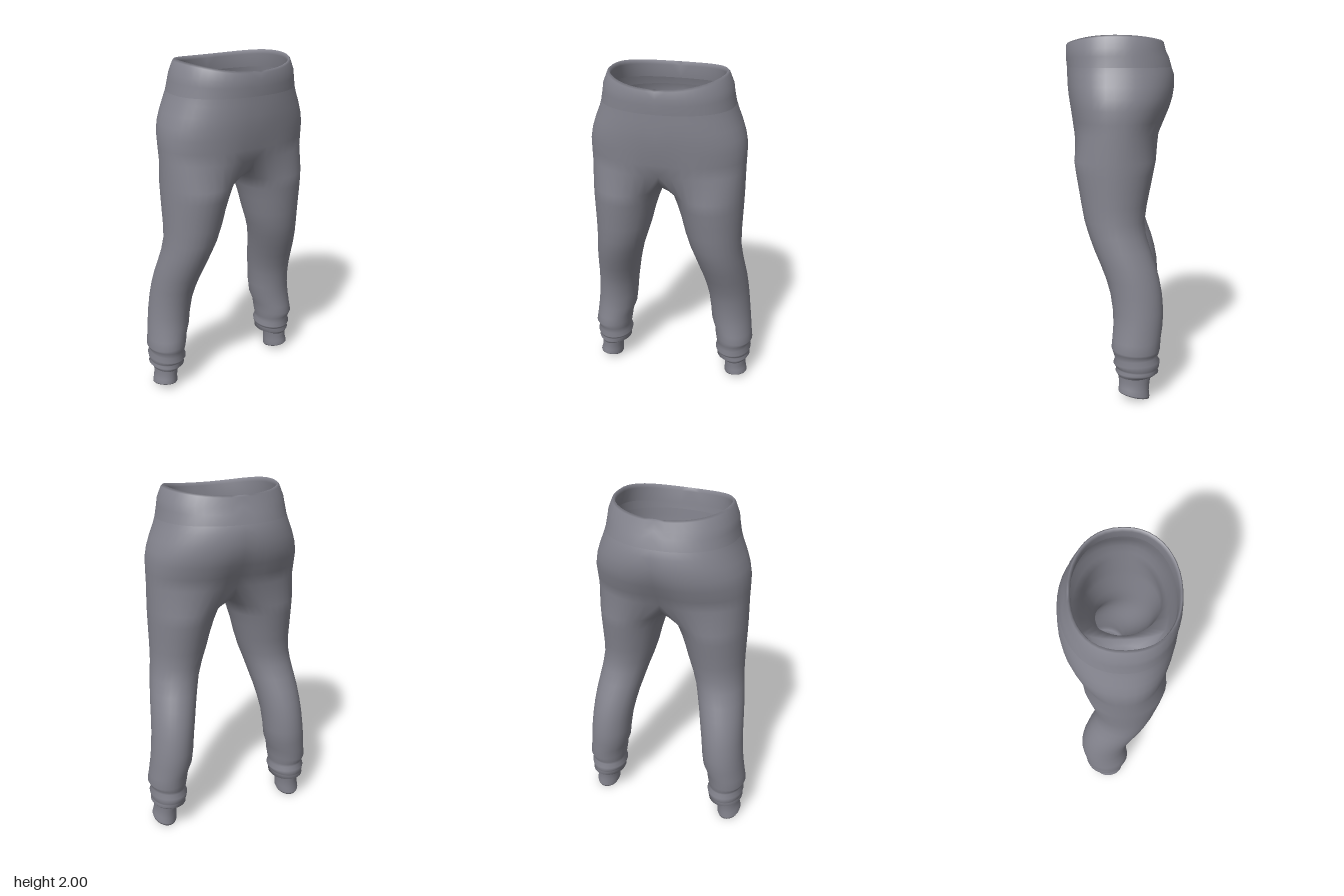
import * as THREE from 'three';
import { mergeGeometries, mergeVertices } from 'three/addons/utils/BufferGeometryUtils.js';

const OUTER = 22; // segments from front seam round the hip to back seam
const INNER = 10; // segments along the inside of a leg
const SWEEP = 0.75; // how far the outer arc wraps onto the inner thigh

// Half ring of the hips, x >= 0: height, half width, front z, back z, rim droop, seam dips
function hipRow([y, w, zf, zb, droop = 0, dipF = 0, dipB = 0]) {
  const row = [];
  const cz = 0.03;
  for (let j = 0; j <= OUTER; j++) {
    const a = (Math.PI * j) / OUTER;
    const c = Math.cos(a);
    const s = Math.max(0, Math.sin(a));
    const x = j === OUTER ? 0 : w * Math.pow(s, 0.92);
    const seam = Math.exp(-((x / 0.11) ** 2));
    const reach = c > 0 ? zf - cz - dipF * seam : cz - zb - dipB * seam;
    const z = cz + Math.sign(c) * reach * Math.pow(Math.abs(c), 0.9);
    row.push([x, y - droop * c * c * (c > 0 ? 1 : 0.65), z]);
  }
  return row;
}

// Closed ring of a leg: height, inner x, outer x, front z, back z, tilt to front, tilt to side
function legRow([y, x0, x1, zf, zb, tilt = 0, side = 0]) {
  const row = [];
  for (let j = 0; j < OUTER + INNER; j++) {
    const a = j <= OUTER
      ? -SWEEP + ((Math.PI + 2 * SWEEP) * j) / OUTER
      : Math.PI + SWEEP + ((Math.PI - 2 * SWEEP) * (j - OUTER)) / INNER;
    const s = Math.sin(a);
    const c = Math.cos(a);
    row.push([(x0 + x1) / 2 + ((x1 - x0) / 2) * s, y + tilt * c + side * s,
      (zf + zb) / 2 + ((zf - zb) / 2) * c]);
  }
  return row;
}

// Skin rows running from top to bottom
function loft(rows, closed) {
  const n = rows[0].length;
  const index = [];
  for (let r = 0; r < rows.length - 1; r++) {
    for (let j = 0; j < (closed ? n : n - 1); j++) {
      const a = r * n + j;
      const b = r * n + ((j + 1) % n);
      index.push(a, a + n, b, b, a + n, b + n);
    }
  }
  const g = new THREE.BufferGeometry();
  g.setAttribute('position', new THREE.Float32BufferAttribute(rows.flat(2), 3));
  g.setIndex(index);
  return g;
}

// Copy a geometry across x = 0, keeping its faces outward
function mirrored(g) {
  const m = g.clone().scale(-1, 1, 1);
  const ix = m.index.array;
  for (let i = 0; i < ix.length; i += 3) [ix[i + 1], ix[i + 2]] = [ix[i + 2], ix[i + 1]];
  return m;
}

function weld(parts) {
  const g = mergeVertices(mergeGeometries(parts), 1e-4);
  g.computeVertexNormals();
  return g;
}

export function createModel() {
  const group = new THREE.Group();
  const cloth = new THREE.MeshStandardMaterial({ color: 0x85858f, side: THREE.DoubleSide });
  cloth.name = 'grey cloth';
  const add = (name, geometry) => {
    const mesh = new THREE.Mesh(geometry, cloth);
    mesh.name = name;
    group.add(mesh);
  };

  // Waistband with a hem folded inside
  const band = loft([
    [1.9, 0.325, 0.285, -0.235, 0.03],
    [1.975, 0.308, 0.29, -0.225, 0.035],
    [2.0, 0.313, 0.3, -0.235, 0.04],
    [1.99, 0.325, 0.308, -0.243, 0.04],
    [1.93, 0.35, 0.31, -0.255, 0.02],
    [1.89, 0.355, 0.31, -0.273, 0.01],
    [1.83, 0.367, 0.305, -0.288],
  ].map(hipRow), false);
  add('waistband', weld([band, mirrored(band)]));

  // Hips and seat down to the crotch line
  const hipRows = [
    [1.83, 0.367, 0.305, -0.288],
    [1.79, 0.38, 0.304, -0.302],
    [1.73, 0.405, 0.302, -0.307, 0, 0, 0.004],
    [1.67, 0.426, 0.296, -0.302, 0, 0, 0.01],
    [1.61, 0.438, 0.289, -0.285, 0, 0.003, 0.018],
    [1.54, 0.438, 0.28, -0.257, 0, 0.008, 0.028],
    [1.47, 0.437, 0.273, -0.23, 0, 0.02, 0.04],
  ].map(hipRow);
  const hips = loft(hipRows, false);

  // Crotch line: the last hip row closed by a saddle curve on the centre plane
  const crotch = hipRows[hipRows.length - 1].slice();
  const front = crotch[0][2];
  const back = crotch[OUTER][2];
  for (let j = 1; j < INNER; j++) {
    const a = Math.PI + (Math.PI * j) / INNER;
    crotch.push([0, 1.47 + 0.125 * Math.sin(a),
      (front + back) / 2 + ((front - back) / 2) * Math.cos(a)]);
  }

  // Legs, with gathered folds above the cuffs
  const leg = loft([crotch, ...[
    [1.33, 0.03, 0.437, 0.256, -0.195],
    [1.26, 0.058, 0.436, 0.246, -0.181],
    [1.18, 0.083, 0.434, 0.232, -0.165],
    [1.09, 0.105, 0.432, 0.217, -0.147],
    [1.0, 0.133, 0.433, 0.2, -0.134],
    [0.92, 0.16, 0.443, 0.175, -0.142],
    [0.84, 0.182, 0.455, 0.145, -0.167],
    [0.76, 0.203, 0.466, 0.11, -0.195],
    [0.68, 0.22, 0.474, 0.079, -0.217],
    [0.6, 0.235, 0.481, 0.056, -0.232],
    [0.5, 0.246, 0.49, 0.041, -0.24],
    [0.42, 0.255, 0.499, 0.04, -0.236],
    [0.35, 0.277, 0.508, 0.045, -0.226, 0, -0.01],
    [0.295, 0.284, 0.516, 0.05, -0.222, 0.005, -0.01],
    [0.265, 0.292, 0.507, 0.042, -0.215, 0.005, 0.006],
    [0.235, 0.297, 0.498, 0.03, -0.207, -0.004, 0.006],
    [0.21, 0.286, 0.509, 0.04, -0.222, -0.006, 0.004],
    [0.185, 0.291, 0.502, 0.03, -0.218, 0.004, -0.004],
    [0.172, 0.302, 0.494, 0.02, -0.207, 0.004, -0.004],
    [0.155, 0.297, 0.505, 0.028, -0.215, 0.003, 0.003],
    [0.14, 0.325, 0.493, 0.018, -0.195, 0.002, 0.002],
    [0.13, 0.345, 0.484, 0.01, -0.172],
  ].map(legRow)], true);
  add('trousers', weld([hips, leg, mirrored(hips), mirrored(leg)]));

  // Ankle cuffs, open below with a hem folded inside
  const cuff = loft([
    [0.14, 0.342, 0.486, 0.012, -0.175],
    [0.1, 0.35, 0.482, 0.008, -0.165, 0.004],
    [0.06, 0.352, 0.488, 0.008, -0.161, 0.012, 0.004],
    [0.03, 0.351, 0.495, 0.012, -0.165, 0.018, 0.007],
    [0.02, 0.356, 0.493, 0.008, -0.163, 0.02, 0.008],
    [0.027, 0.364, 0.484, 0, -0.154, 0.019, 0.007],
    [0.08, 0.364, 0.474, -0.004, -0.15, 0.01],
  ].map(legRow), true);
  add('leftCuff', weld([cuff]));
  add('rightCuff', weld([mirrored(cuff)]));
  return group;
}
